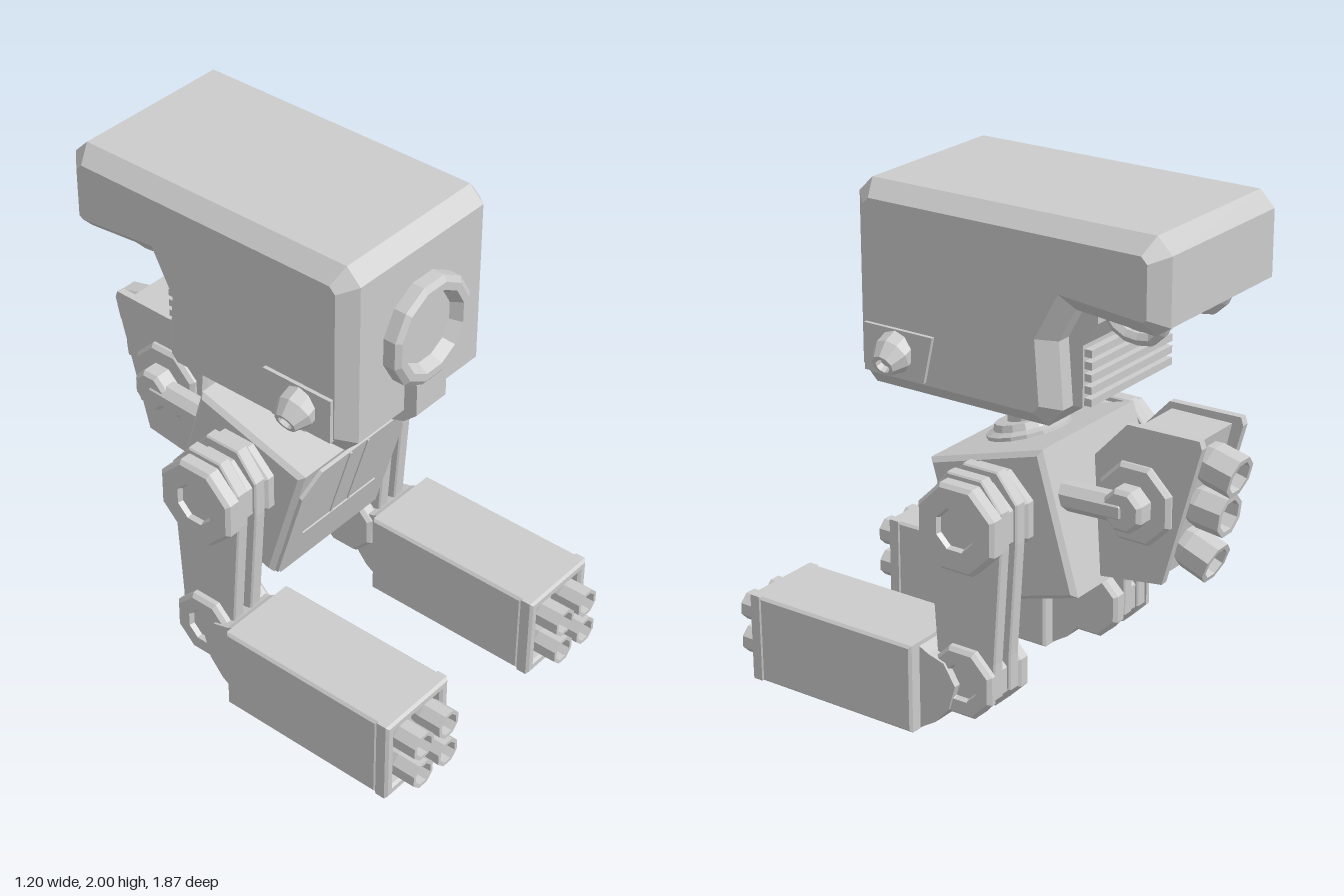
import * as THREE from 'three';

export function createModel() {
  const root = new THREE.Group();
  const mat = new THREE.MeshStandardMaterial({ color: 0xcccccc, flatShading: true });
  const open = new THREE.MeshStandardMaterial({ color: 0xcccccc, flatShading: true, side: THREE.DoubleSide });

  const add = (name, geo, parent = root, m = mat) => {
    const mesh = new THREE.Mesh(geo, m);
    mesh.name = name;
    parent.add(mesh);
    return mesh;
  };
  const shapeOf = pts => new THREE.Shape(pts.map(p => new THREE.Vector2(p[0], p[1])));

  // Side profile of [z, y] points, extruded across x about xc, with chamfered rims
  const side = (name, pts, xc, w, b = 0, parent = root) => {
    const g = new THREE.ExtrudeGeometry(shapeOf(pts), {
      depth: w - 2 * b, bevelEnabled: b > 0, bevelThickness: b, bevelSize: b, bevelOffset: -b, bevelSegments: 1,
    });
    g.rotateY(-Math.PI / 2).translate(xc + w / 2 - b, 0, 0);
    return add(name, g, parent);
  };
  // Turned part: [radius, distance] profile along dir from pos
  const turned = (name, pts, n, pos, dir, parent = root) => {
    const g = new THREE.LatheGeometry(pts.map(p => new THREE.Vector2(p[0], p[1])), n, Math.PI / n);
    const mesh = add(name, g, parent, open);
    mesh.position.set(...pos);
    mesh.quaternion.setFromUnitVectors(new THREE.Vector3(0, 1, 0), new THREE.Vector3(...dir).normalize());
    return mesh;
  };
  const disc = (r, h, c = 0.01) => [[0, 0], [r - c, 0], [r, c], [r, h - c], [r - c, h], [0, h]];
  const nozzle = (r, h) => [[0, 0], [r * 0.85, 0], [r, h * 0.3], [r, h], [r * 0.75, h], [r * 0.7, h * 0.4], [0, h * 0.4]];
  const box = (name, w, h, d, x, y, z, parent = root) => {
    const m = add(name, new THREE.BoxGeometry(w, h, d), parent);
    m.position.set(x, y, z);
    return m;
  };

  // Head with rear overhang
  side('head', [[0.48, 1.29], [0.48, 1.94], [0.42, 2], [-0.77, 2], [-0.83, 1.94], [-0.83, 1.69], [-0.77, 1.65],
    [-0.45, 1.68], [-0.38, 1.55], [-0.40, 1.30], [-0.34, 1.23], [0.42, 1.23]].reverse(), 0, 0.78, 0.06);

  // Eye and the bar below it
  turned('eyeRing', [[0.2, 0], [0.212, 0.01], [0.212, 0.09], [0.19, 0.105], [0.16, 0.105], [0.137, 0.06], [0, 0.06]],
    12, [0, 1.61, 0.44], [0, 0, 1]);
  side('eyeBar', [[0.42, 1.22], [0.48, 1.24], [0.535, 1.29], [0.535, 1.42], [0.42, 1.42]], 0, 0.165);

  // Vent block and slats below the overhang
  side('ventBlock', [[-0.36, 1.3], [-0.44, 1.3], [-0.44, 1.53], [-0.5, 1.62], [-0.5, 1.68], [-0.36, 1.68]], 0, 0.54);
  for (let i = 0; i < 5; i++) box('ventSlat', 0.52, 0.028, 0.09, 0, 1.32 + i * 0.045, -0.425);
  for (const x of [-0.1, 0, 0.1]) turned('rivet', disc(0.02, 0.02, 0.005), 8, [x, 1.575, -0.468], [0, -0.55, -0.83]);
  turned('rearPipe', disc(0.05, 0.4), 8, [-0.2, 1.635, -0.61], [1, 0, 0]);
  for (const s of [1, -1]) {
    const path = [[1.64, -0.5], [1.59, -0.55], [1.575, -0.62], [1.59, -0.69], [1.66, -0.73]]
      .map(([y, z]) => new THREE.Vector3(s * 0.2, y, z));
    add('rearHandle', new THREE.TubeGeometry(new THREE.CatmullRomCurve3(path), 6, 0.026, 6), root, open);

    // Side lamp on its plate
    side('lampPlate', [[0.415, 1.3], [0.415, 1.48], [0.11, 1.48], [0.15, 1.3]], s * 0.39, 0.03);
    turned('sideLamp', [[0, 0], [0.075, 0], [0.075, 0.08], [0.045, 0.135], [0.03, 0.135], [0.025, 0.11], [0, 0.11]],
      10, [s * 0.355, 1.415, 0.275], [s, -0.42, 0]);
  }

  // Neck
  turned('neck', [[0, 0], [0.078, 0], [0.078, 0.2], [0.09, 0.2], [0.09, 0.24], [0, 0.24]], 12, [0, 1, -0.02], [0, 1, 0]);

  // Torso, leaning forward
  const torso = new THREE.Group();
  torso.name = 'torso';
  torso.position.set(0, 0.7725, -0.111);
  torso.rotation.x = 0.285;
  root.add(torso);
  side('torsoBody', [[-0.265, -0.278], [0.25, -0.278], [0.25, 0.278], [-0.265, 0.278]], 0, 0.62, 0.018, torso);
  add('chestPlate', new THREE.ExtrudeGeometry(shapeOf([[-0.29, -0.27], [0.29, -0.27], [0.29, 0.16], [0.21, 0.26],
    [-0.21, 0.26], [-0.29, 0.16]]), { depth: 0.015, bevelEnabled: false }), torso).position.z = 0.25;
  add('lowerChestPlate', new THREE.ExtrudeGeometry(shapeOf([[-0.28, -0.27], [0.28, -0.27], [0.21, -0.09], [-0.21, -0.09]]),
    { depth: 0.008, bevelEnabled: false }), torso).position.z = 0.263;
  for (const x of [-0.05, 0.05]) box('chestStrip', 0.012, 0.34, 0.008, x, 0.085, 0.266, torso);
  turned('neckFlange', [[0, 0], [0.16, 0], [0.16, 0.015], [0.13, 0.025], [0.12, 0.05], [0, 0.05]], 16,
    [0, 0.277, 0.01], [0, 1, 0], torso);

  // Backpack with side plates, nozzles and support arms
  side('backpackBody', [[-0.44, 0.64], [-0.69, 0.67], [-0.81, 1.2], [-0.56, 1.2], [-0.44, 1.07]], 0, 0.26);
  for (const s of [1, -1]) {
    side('backpackPlate', [[-0.445, 0.615], [-0.705, 0.65], [-0.855, 1.2], [-0.845, 1.23], [-0.55, 1.225], [-0.415, 1.08]],
      s * 0.138, 0.03);
    turned('backpackDisc', disc(0.16, 0.04, 0.015), 8, [s * 0.14, 0.94, -0.595], [s, 0, 0]);
    turned('armKnob', disc(0.085, 0.09, 0.015), 8, [s * 0.17, 0.94, -0.595], [s, 0, 0]);
    turned('supportArm', disc(0.055, 0.3), 8, [s * 0.215, 0.925, -0.3], [0, 0.04, -1]);
  }
  for (const [y, z, tilt] of [[1.1, -0.77, 0.25], [0.925, -0.73, 0.12], [0.765, -0.69, 0.36]])
    turned('backNozzle', nozzle(0.082, 0.155), 8, [0, y, z], [0, -Math.sin(tilt), -Math.cos(tilt)]);

  // Legs and foot pods
  const Z = -0.095;
  const half = [[0.06, 0.105], [0.13, 0.19], [0.13, 0.33], [0.16, 0.78], [0.16, 0.93], [0.075, 1.037]];
  const legPts = [...half.map(([z, y]) => [Z + z, y]), ...half.slice().reverse().map(([z, y]) => [Z - z, y])];
  for (const s of [1, -1]) {
    const leg = new THREE.Group();
    leg.name = s > 0 ? 'leftLeg' : 'rightLeg';
    root.add(leg);
    for (const x of [0.378, 0.472]) side('legPlate', legPts, s * x, 0.055, 0.006, leg);

    // Layered octagonal joints: height, radius, cap radius, outer reach
    for (const [name, y, r, cap, out] of [['shoulder', 0.85, 0.18, 0.085, 0.06], ['ankle', 0.235, 0.145, 0.075, 0.035]]) {
      turned(name + 'InnerDisc', disc(r, 0.07, 0.015), 8, [s * 0.285, y, Z], [s, 0, 0], leg);
      turned(name + 'MiddleDisc', disc(r * 0.88, 0.06), 8, [s * 0.395, y, Z], [s, 0, 0], leg);
      turned(name + 'OuterDisc', [[0, 0], [r, 0], [r, out - 0.015], [r - 0.015, out], [cap, out], [cap - 0.008, out - 0.02],
        [0, out - 0.02]], 8, [s * 0.5, y, Z], [s, 0, 0], leg);
    }

    // Bracket joining ankle and pod
    side('ankleBracket', [[0.1, 0.006], [0.08, 0.006], [0.01, 0.05], [-0.05, 0.12], [-0.08, 0.22], [-0.03, 0.3],
      [0.04, 0.32], [0.1, 0.35]], s * 0.425, 0.24, 0, leg);

    // Pod with framed mouth and four nozzles
    const pod = new THREE.Group();
    pod.name = 'footPod';
    pod.position.set(s * 0.425, 0.18, 0);
    leg.add(pod);
    side('podBody', [[0.08, -0.177], [0.8, -0.177], [0.8, 0.177], [0.08, 0.177]], 0, 0.35, 0.01, pod);
    const frame = shapeOf([[-0.165, -0.167], [0.165, -0.167], [0.165, 0.167], [-0.165, 0.167]]);
    frame.holes.push(new THREE.Path([[-0.143, -0.145], [-0.143, 0.145], [0.143, 0.145], [0.143, -0.145]]
      .map(p => new THREE.Vector2(...p))));
    add('podFrame', new THREE.ExtrudeGeometry(frame, {
      depth: 0.04, bevelThickness: 0.01, bevelSize: 0.01, bevelSegments: 1,
    }), pod).position.z = 0.8;
    for (const x of [-0.071, 0.071]) for (const y of [-0.069, 0.071])
      turned('podNozzle', nozzle(0.059, 0.14), 8, [x, y, 0.795], [0, 0, 1], pod);
  }
  return root;
}
